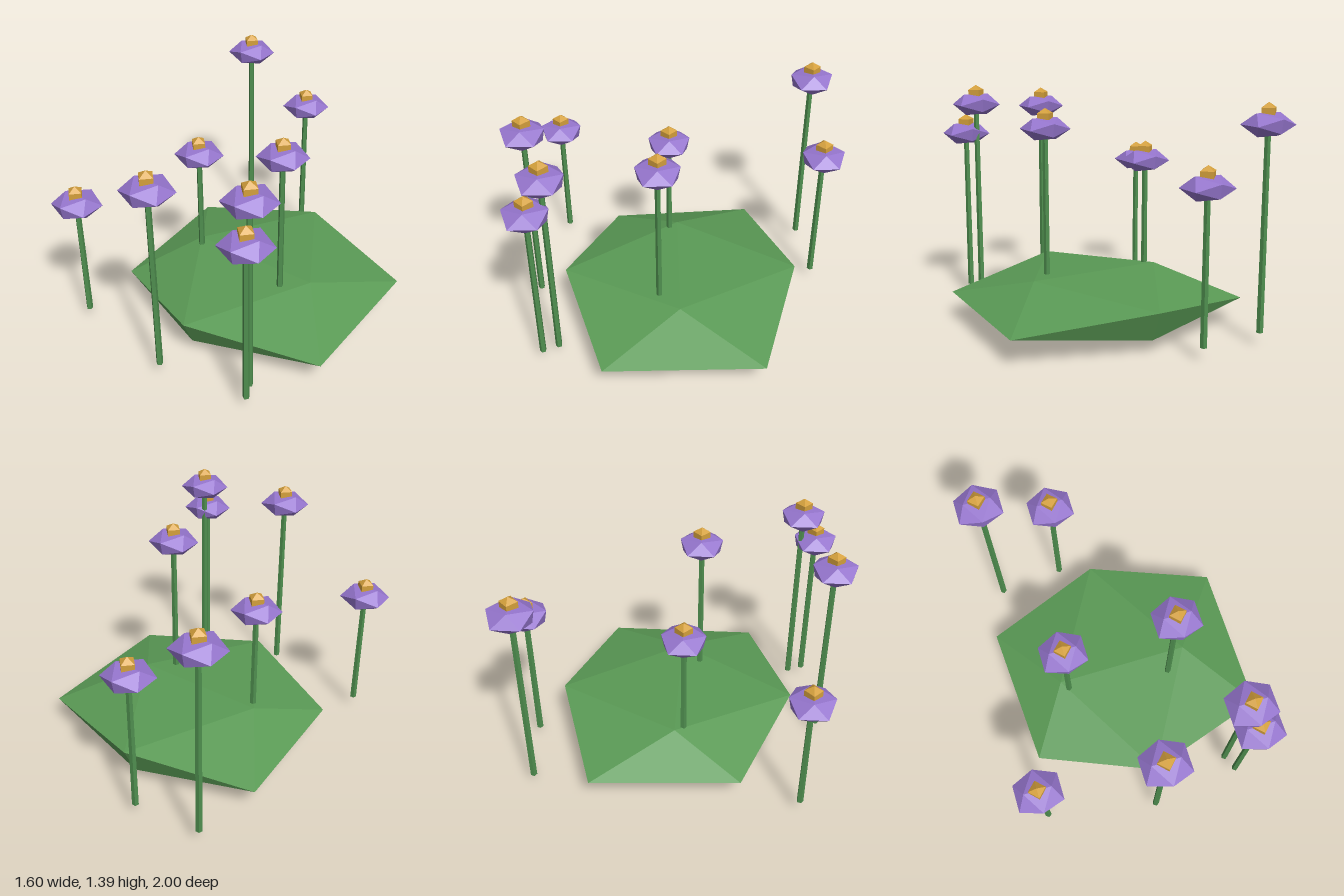
import * as THREE from 'three';
import { ConvexGeometry } from 'three/addons/geometries/ConvexGeometry.js';

const flat = (name, color) => {
  const m = new THREE.MeshStandardMaterial({ color, flatShading: true });
  m.name = name;
  return m;
};

export function createModel() {
  const model = new THREE.Group();
  model.name = 'flowerPatch';
  const leafGreen = flat('leafGreen', 0x5a9a55);
  const stemGreen = flat('stemGreen', 0x4f8f4f);
  const petalPurple = flat('petalPurple', 0x9575cd);
  const centreGold = flat('centreGold', 0xd4a03c);

  const add = (parent, name, geometry, material, x, y, z) => {
    const mesh = new THREE.Mesh(geometry, material);
    mesh.name = name;
    mesh.position.set(x, y, z);
    parent.add(mesh);
  };

  // Leafy mound: an uneven, flattened twenty-sided lump
  const moundPoints = [
    [-0.37, 0.305, 0], [0.45, 0.3, 0],
    [0.04, 0.26, 0.705], [0.04, 0.26, -0.73],
    [0.8, 0.162, 0.45], [0.8, 0.162, -0.48], [-0.635, 0.162, 0.4], [-0.69, 0.162, -0.48],
    [0.03, 0.08, 0.62], [0.03, 0.08, -0.65],
    [-0.37, 0.02, 0], [0.5, 0.004, -0.01],
  ].map((p) => new THREE.Vector3(...p));
  add(model, 'leafMound', new ConvexGeometry(moundPoints), leafGreen, 0, 0, 0);

  // Blossom: flattened icosahedron, narrower below the middle
  const blossom = new THREE.IcosahedronGeometry(0.15, 0);
  const pos = blossom.attributes.position;
  for (let i = 0; i < pos.count; i++) {
    const k = pos.getY(i) < -0.02 ? 0.88 : 1;
    pos.setXYZ(i, pos.getX(i) * k, pos.getY(i) * 0.5, pos.getZ(i) * k * 0.98);
  }
  blossom.computeVertexNormals();
  const centre = new THREE.SphereGeometry(0.058, 4, 3);

  // Flowers: x, blossom height, z
  const flowers = [
    [-0.56, 1.25, -0.83], [-0.15, 0.95, -0.87],
    [-0.33, 0.95, 0.05], [0.31, 1.175, 0.12],
    [-0.675, 0.835, 0.745], [-0.005, 1.23, 0.875],
    [0.51, 1.275, 0.72], [0.55, 1.085, 0.81],
  ];
  const footY = 0.08;
  for (const [x, y, z] of flowers) {
    const flower = new THREE.Group();
    flower.name = 'flower';
    flower.position.set(x, 0, z);
    const length = y - footY;
    add(flower, 'stem', new THREE.CylinderGeometry(0.017, 0.02, length, 5), stemGreen, 0, footY + length / 2, 0);
    add(flower, 'blossom', blossom, petalPurple, 0, y, 0);
    add(flower, 'flowerCentre', centre, centreGold, 0, y + 0.063, 0);
    model.add(flower);
  }
  return model;
}
